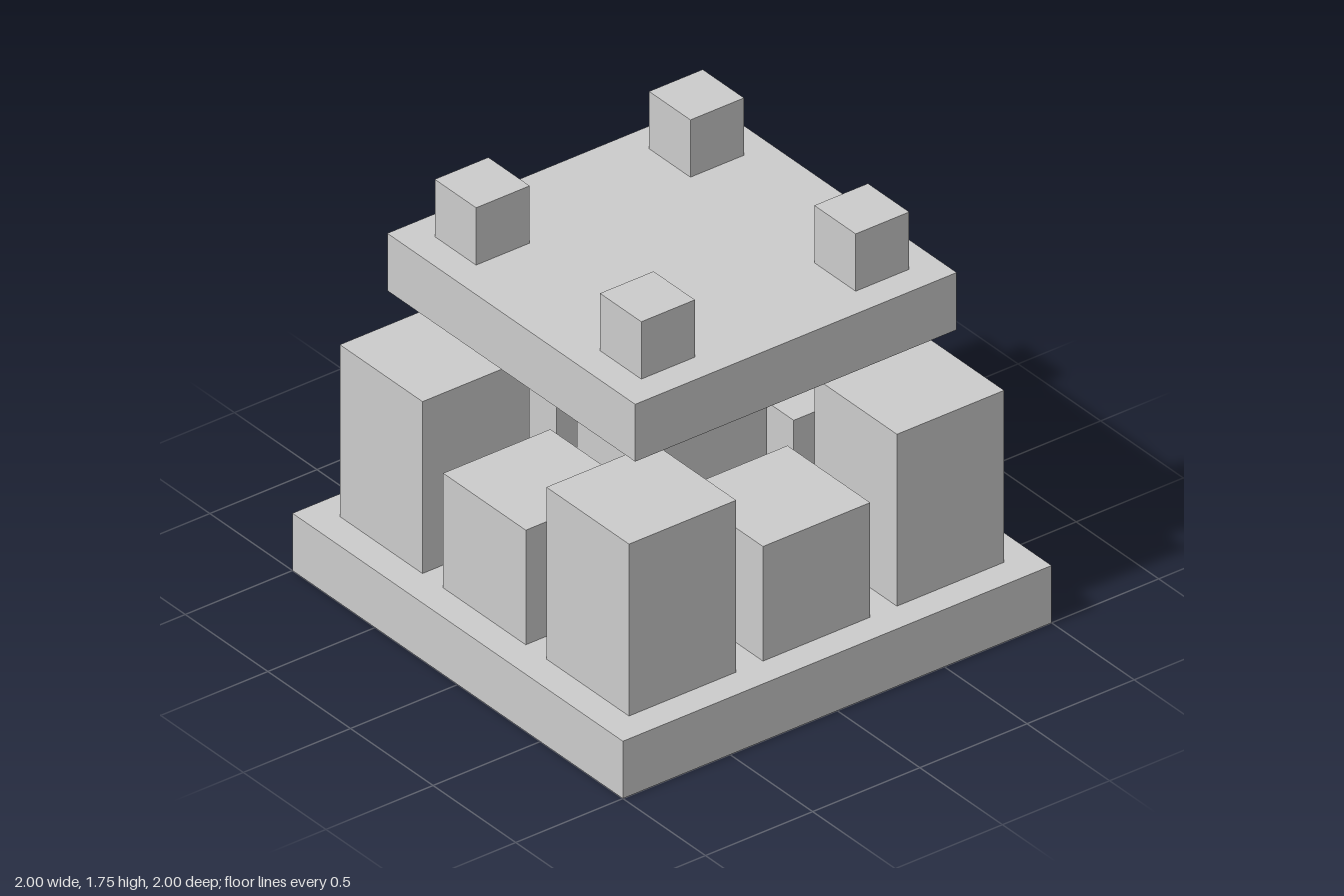
import * as THREE from 'three';

const material = new THREE.MeshStandardMaterial({ color: 0xcccccc, flatShading: true });

export function createModel() {
  const model = new THREE.Group();
  model.name = 'blockPavilion';

  // A square block standing on height y
  const block = (name, width, height, x, y, z) => {
    const mesh = new THREE.Mesh(new THREE.BoxGeometry(width, height, width), material);
    mesh.name = name;
    mesh.position.set(x, y + height / 2, z);
    model.add(mesh);
  };

  // Base, central column and raised platform
  block('base', 2, 0.25, 0, 0, 0);
  block('centralColumn', 0.5, 1, 0, 0.25, 0);
  block('platform', 1.5, 0.25, 0, 1.25, 0);

  // Ring of blocks: tall at the corners, shorter at the middle of each side
  const ring = 0.625;
  for (const i of [-1, 0, 1]) {
    for (const k of [-1, 0, 1]) {
      if (i === 0 && k === 0) continue;
      const corner = i !== 0 && k !== 0;
      block(corner ? 'cornerBlock' : 'sideBlock', 0.5, corner ? 0.75 : 0.5, i * ring, 0.25, k * ring);
      // Small cube on each platform corner
      if (corner) block('topCube', 0.25, 0.25, i * 0.5, 1.5, k * 0.5);
    }
  }

  return model;
}
